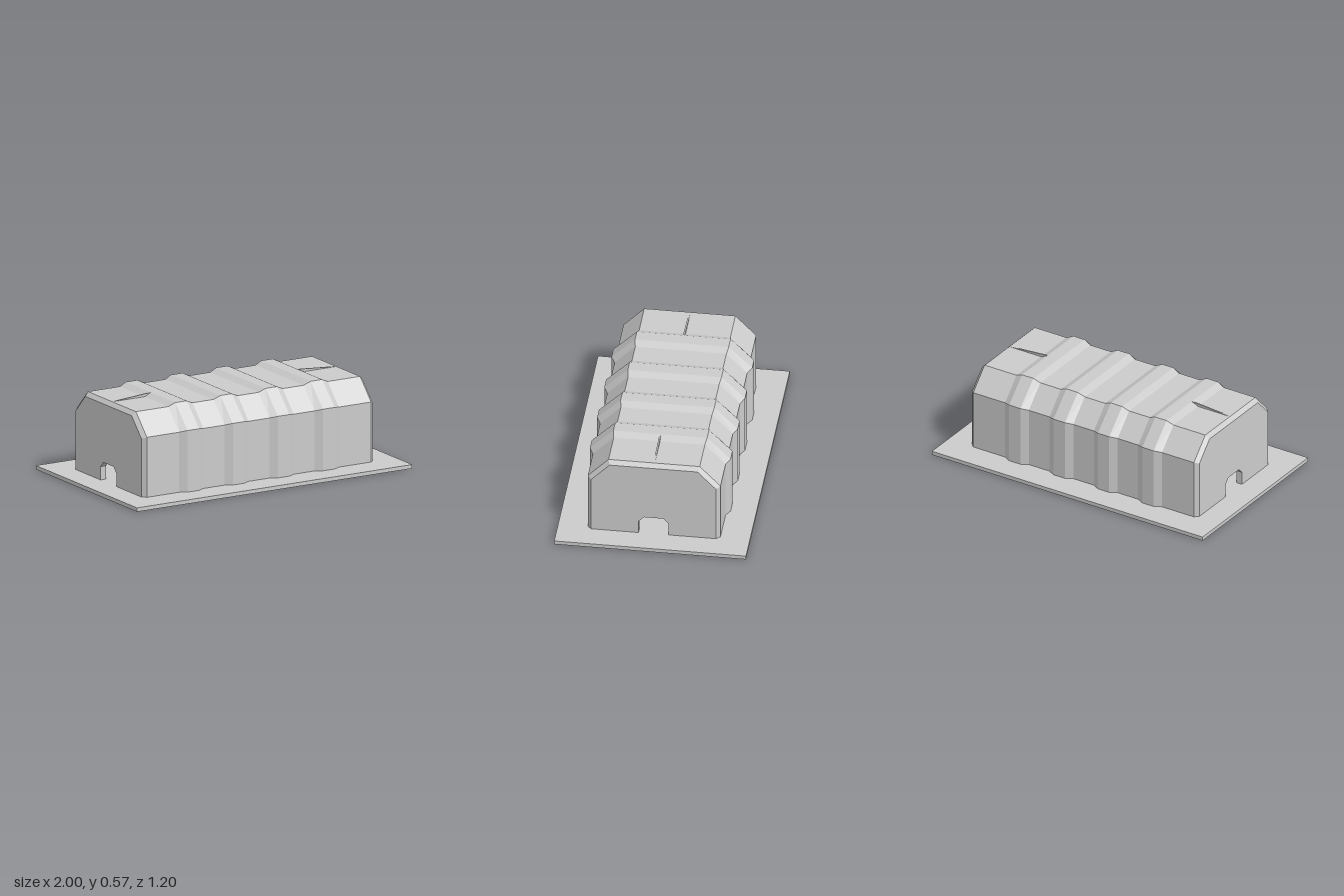
import * as THREE from 'three';

const FLOOR = 0.025;

// Half cross-sections: wall z, eave height, roof edge z, roof height
const CAP = [0.39, 0.4, 0.275, 0.52];
const VALLEY = [0.415, 0.41, 0.285, 0.545];
const CREST = [0.44, 0.42, 0.293, 0.566];

// Full section as [z, y] points, from the front foot over the roof to the back foot
function section([wall, eave, ridge, top]) {
  const half = [[wall, FLOOR], [wall, eave], [ridge, top]];
  return [...half, ...half.map(([z, y]) => [-z, y]).reverse()];
}

// Ribbed shell lofted through stations along x
function shellGeometry() {
  const stations = [[-0.84, CAP], [-0.815, VALLEY]];
  for (let i = 0; i < 4; i++) {
    const c = (i - 1.5) * 0.328;
    stations.push([c - 0.088, VALLEY], [c - 0.042, CREST], [c + 0.042, CREST], [c + 0.088, VALLEY]);
  }
  stations.push([0.815, VALLEY], [0.84, CAP]);

  const rings = stations.map(([x, s]) => section(s).map(([z, y]) => [x, y, z]));
  const positions = [];
  for (let i = 0; i < rings.length - 1; i++) {
    for (let j = 0; j < 5; j++) {
      const a = rings[i][j], b = rings[i + 1][j];
      const c = rings[i + 1][j + 1], d = rings[i][j + 1];
      positions.push(...a, ...b, ...c, ...a, ...c, ...d);
    }
  }
  const geometry = new THREE.BufferGeometry();
  geometry.setAttribute('position', new THREE.Float32BufferAttribute(positions, 3));
  geometry.computeVertexNormals();
  return geometry;
}

// End wall with a chamfered doorway notched into its foot
function endWallGeometry() {
  const door = [[-0.094, FLOOR], [-0.094, 0.11], [-0.06, 0.145], [0.06, 0.145], [0.094, 0.11], [0.094, FLOOR]];
  const outline = [...section(CAP), ...door].map(([z, y]) => new THREE.Vector2(z, y));
  const geometry = new THREE.ExtrudeGeometry(new THREE.Shape(outline), { depth: 0.04, bevelEnabled: false });
  return geometry.rotateY(Math.PI / 2);
}

// Slim wedge along the roof centre, rising from the end to the first rib
function wedgeGeometry(side) {
  const shape = new THREE.Shape([
    new THREE.Vector2(side * 0.815, 0.545),
    new THREE.Vector2(side * 0.58, 0.545),
    new THREE.Vector2(side * 0.534, 0.566),
  ]);
  return new THREE.ExtrudeGeometry(shape, { depth: 0.01, bevelEnabled: false }).translate(0, 0, -0.005);
}

export function createModel() {
  const model = new THREE.Group();
  model.name = 'ribbedShelter';
  const solid = new THREE.MeshStandardMaterial({ color: 0xcccccc, flatShading: true });
  const sheet = new THREE.MeshStandardMaterial({ color: 0xcccccc, flatShading: true, side: THREE.DoubleSide });

  const add = (name, geometry, material, x = 0, y = 0) => {
    const mesh = new THREE.Mesh(geometry, material);
    mesh.name = name;
    mesh.position.set(x, y, 0);
    model.add(mesh);
  };

  add('basePlate', new THREE.BoxGeometry(2, FLOOR, 1.2), solid, 0, FLOOR / 2);
  add('ribbedShell', shellGeometry(), sheet);
  add('leftEndWall', endWallGeometry(), solid, 0.8);
  add('rightEndWall', endWallGeometry(), solid, -0.84);
  add('leftRoofWedge', wedgeGeometry(1), solid);
  add('rightRoofWedge', wedgeGeometry(-1), solid);
  return model;
}
